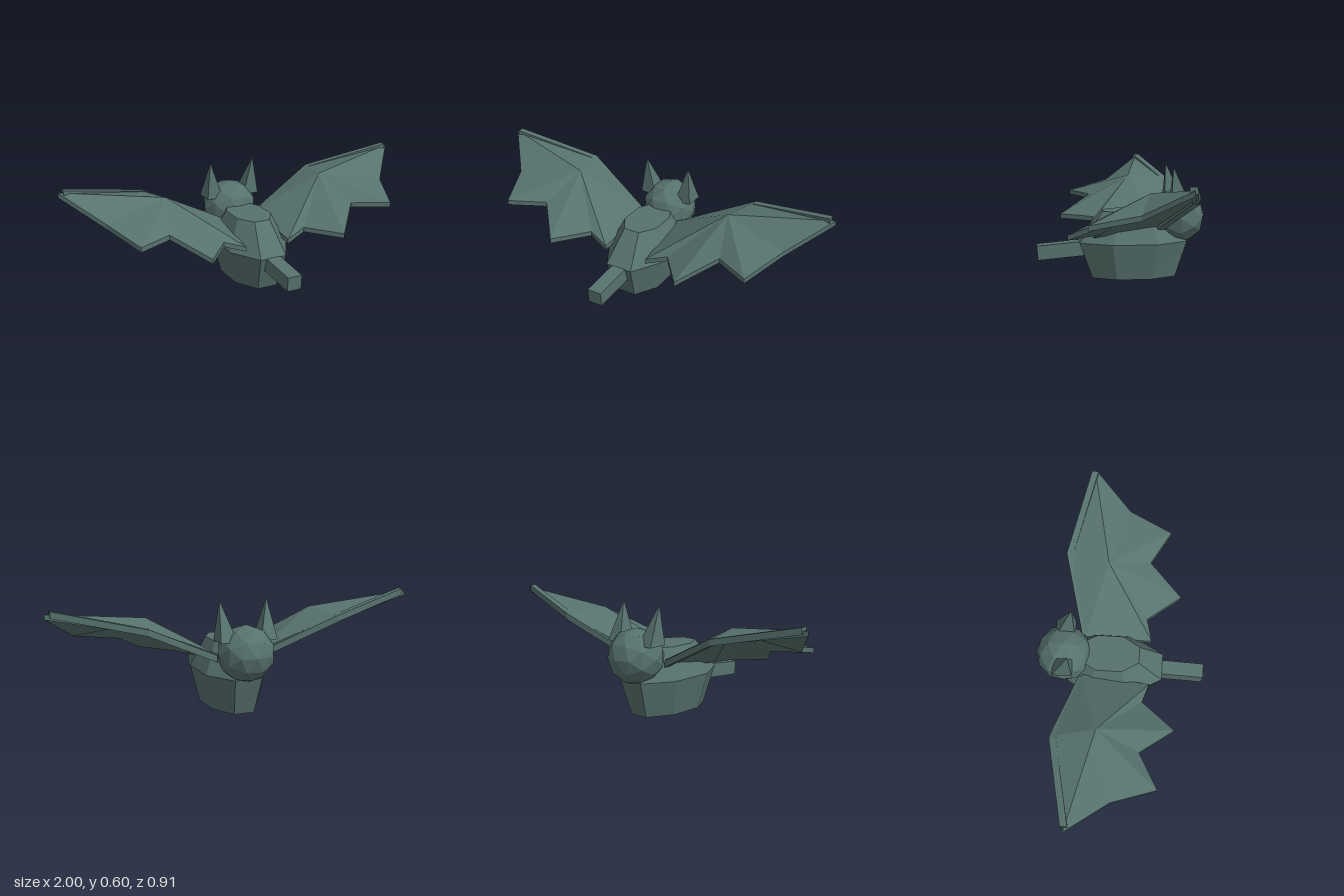
import * as THREE from 'three';

const fur = new THREE.MeshStandardMaterial({ color: 0x57726e, flatShading: true });
fur.name = 'dusky teal';

const mean = (ring) => [0, 1, 2].map((k) => ring.reduce((s, p) => s + p[k], 0) / ring.length);

// Closed faceted solid from two or more rings; each cap fans out from a centre point
function loft(rings, bottomCentre = mean(rings[0]), topCentre = mean(rings[rings.length - 1])) {
  const tris = [];
  const n = rings[0].length;
  const last = rings[rings.length - 1];
  for (let i = 0; i < n; i++) {
    const j = (i + 1) % n;
    tris.push([bottomCentre, rings[0][j], rings[0][i]], [topCentre, last[i], last[j]]);
    for (let r = 0; r + 1 < rings.length; r++) {
      const a = rings[r], b = rings[r + 1];
      tris.push([a[i], a[j], b[j]], [a[i], b[j], b[i]]);
    }
  }
  // Signed volume tells whether the faces point inwards
  const volume = tris.reduce((s, [a, b, c]) => s
    + a[0] * (b[1] * c[2] - b[2] * c[1])
    + a[1] * (b[2] * c[0] - b[0] * c[2])
    + a[2] * (b[0] * c[1] - b[1] * c[0]), 0);
  if (volume < 0) tris.forEach((t) => t.reverse());
  const geo = new THREE.BufferGeometry();
  geo.setAttribute('position', new THREE.Float32BufferAttribute(tris.flat(2), 3));
  geo.computeVertexNormals();
  return geo;
}

function part(name, geometry, parent) {
  const mesh = new THREE.Mesh(geometry, fur);
  mesh.name = name;
  parent.add(mesh);
  return mesh;
}

// Long eight-sided body outline at one height
function bodyRing(y, wide, narrow, rear, sideRear, sideFront, front) {
  const half = [[narrow, rear], [wide, sideRear], [wide, sideFront], [narrow, front]];
  const other = half.map(([x, z]) => [-x, z]).reverse();
  return [...half, ...other].map(([x, z]) => [x, y, z]);
}

// Four-sided bar between two points
function bar(a, b, width, height) {
  const end = ([x, y, z]) => [[-1, -1], [1, -1], [1, 1], [-1, 1]]
    .map(([u, v]) => [x, y + v * height / 2, z + u * width / 2]);
  return loft([end(a), end(b)]);
}

// Wing membrane rim (upper surface), from the front of the root round to the rear
const rim = [
  [0.11, 0.305, -0.2], [0.51, 0.482, -0.315], [1.0, 0.577, -0.21],
  [0.82, 0.445, 0.0], [0.73, 0.39, 0.235], [0.54, 0.385, 0.13],
  [0.385, 0.29, 0.31], [0.24, 0.292, 0.13], [0.125, 0.255, 0.163],
];
const wrist = [0.465, 0.505, -0.095];
const thickness = 0.026;

export function createModel() {
  const model = new THREE.Group();
  model.name = 'bat';

  part('body', loft([
    bodyRing(0, 0.125, 0.055, 0.16, 0.035, -0.155, -0.29),
    bodyRing(0.195, 0.17, 0.075, 0.23, 0.06, -0.185, -0.35),
    bodyRing(0.36, 0.1, 0.045, 0.1, 0.01, -0.13, -0.23),
  ]), model);

  const head = part('head', new THREE.IcosahedronGeometry(0.15, 1).rotateY(Math.PI / 2), model);
  head.position.set(0, 0.324, -0.307);

  // Tail, drooping slightly towards its end
  const tail = part('tail', new THREE.BoxGeometry(0.08, 0.078, 0.32), model);
  tail.position.set(0, 0.152, 0.295);
  tail.rotation.x = 0.085;

  for (const s of [1, -1]) {
    const side = s > 0 ? 'left' : 'right';
    const flip = ([x, y, z]) => [s * x, y, z];
    const drop = ([x, y, z]) => [x, y - thickness, z];

    // Ear: pyramid leaning outwards
    const base = [[0.065, 0.395, -0.25], [0.155, 0.395, -0.25], [0.155, 0.395, -0.357], [0.065, 0.395, -0.357]];
    const tip = base.map(() => [0.13, 0.603, -0.265]);
    part(side + 'Ear', loft([base.map(flip), tip.map(flip)]), model);

    // Wing: folded membrane and two arm bones along the leading edge
    const wing = new THREE.Group();
    wing.name = side + 'Wing';
    const top = rim.map(flip), centre = flip(wrist);
    part('membrane', loft([top.map(drop), top], drop(centre), centre), wing);
    const shoulder = flip([0.12, 0.285, -0.2]);
    const elbow = flip([0.52, 0.472, -0.311]);
    const hand = flip([0.975, 0.574, -0.207]);
    part('upperArm', bar(shoulder, elbow, 0.04, 0.036), wing);
    part('forearm', bar(elbow, hand, 0.036, 0.034), wing);
    model.add(wing);
  }
  return model;
}
